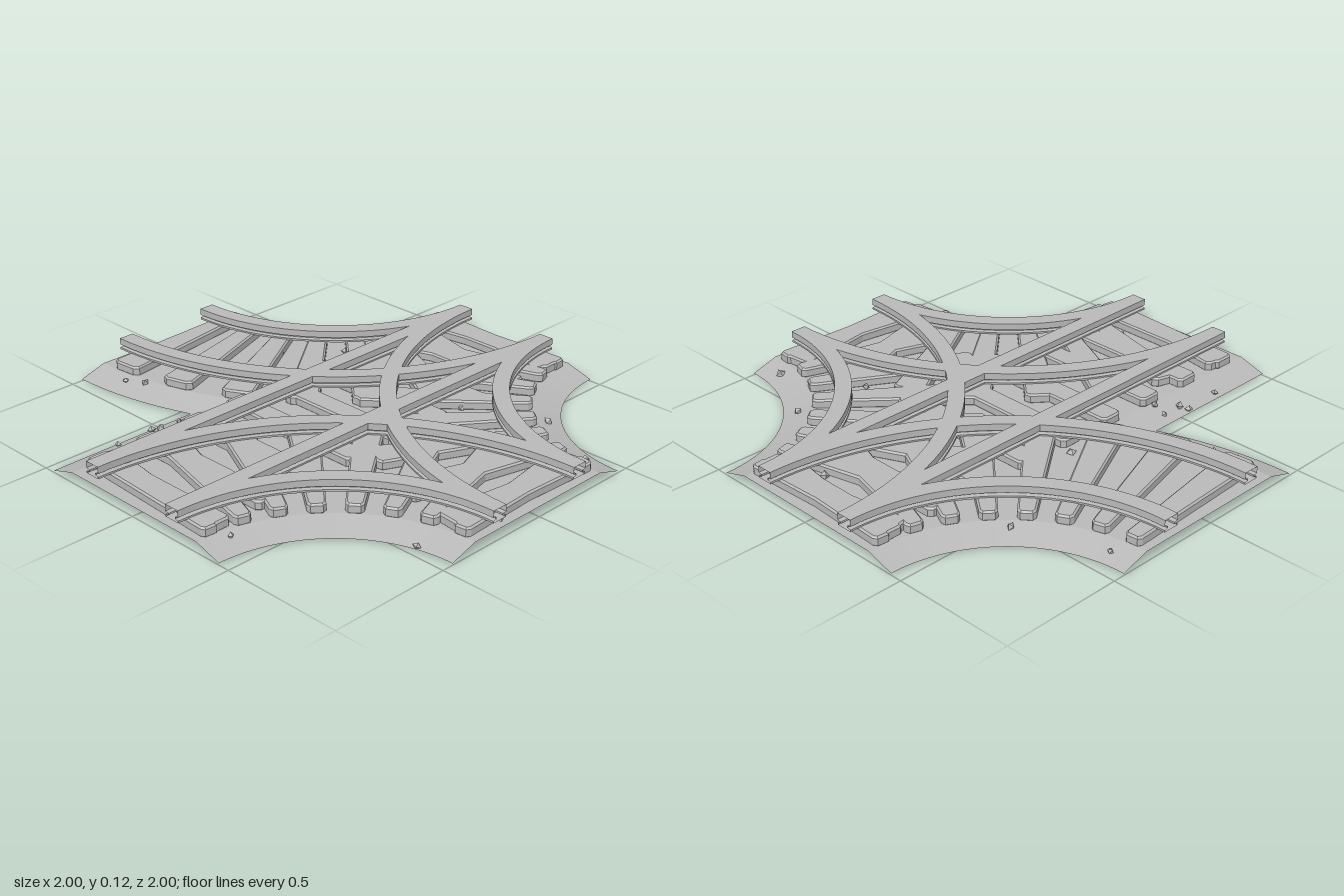
import * as THREE from 'three';

const GAUGE = 0.217, FLAT = 0.34, EDGE = 0.453, BED_Y = 0.035;
const HALF = Math.PI / 2;

const grey = new THREE.MeshStandardMaterial({ color: 0xb8b8b8 });
grey.name = 'stoneGrey';
const greySheet = grey;
greySheet.side = THREE.DoubleSide;

// A track maps (s along 0..1, sideways offset) to [x, z]
const straight = { name: 'straight', length: 2, sleepers: 9, steps: 1, at: (s, o) => [2 * s - 1, o] };
const curve = (name, cx, cz, a0) => ({
  name, length: HALF, sleepers: 8, steps: 32,
  at: (s, o) => {
    const a = a0 - s * HALF;
    return [cx + (1 + o) * Math.cos(a), cz + (1 + o) * Math.sin(a)];
  },
});
const tracks = [
  straight,
  curve('frontRightCurve', -1, 1, 0),
  curve('frontLeftCurve', 1, 1, -HALF),
  curve('backLeftCurve', 1, -1, Math.PI),
];

function sheet(positions, index) {
  const g = new THREE.BufferGeometry();
  g.setAttribute('position', new THREE.Float32BufferAttribute(positions, 3));
  g.setIndex(index);
  g.computeVertexNormals();
  return g;
}

function mesh(name, geometry) {
  const m = new THREE.Mesh(geometry, grey);
  m.name = name;
  return m;
}

// Rail: foot, web and head swept along the track, open at both ends
const railProfile = [
  [-0.033, 0.069], [0.033, 0.069], [0.033, 0.077], [0.017, 0.08], [0.017, 0.087], [0.033, 0.09],
  [0.033, 0.117], [-0.033, 0.117], [-0.033, 0.09], [-0.017, 0.087], [-0.017, 0.08], [-0.033, 0.077],
];
function railGeometry(track, offset) {
  const pos = [], index = [];
  railProfile.forEach((p, k) => {
    const q = railProfile[(k + 1) % railProfile.length];
    const base = pos.length / 3;
    for (let i = 0; i <= track.steps; i++) {
      for (const [o, y] of [p, q]) {
        const [x, z] = track.at(i / track.steps, offset + o);
        pos.push(x, y, z);
      }
      if (i < track.steps) {
        const a = base + 2 * i;
        index.push(a, a + 2, a + 3, a, a + 3, a + 1);
      }
    }
  });
  return sheet(pos, index);
}

// Sleeper: chamfered block that widens outward on curves
function sleeperGeometry(track, s) {
  const w = 0.05, l = 0.34, c = 0.016, b = 0.007;
  const plan = [
    [-w, -l + c], [-w + c, -l], [w - c, -l], [w, -l + c],
    [w, l - c], [w - c, l], [-w + c, l], [-w, l - c],
  ].map(([u, o]) => {
    const [x, z] = track.at(s + u / track.length, o);
    return new THREE.Vector2(x, -z);
  });
  const g = new THREE.ExtrudeGeometry(new THREE.Shape(plan), {
    depth: 0.041 - 2 * b, bevelEnabled: true, bevelThickness: b,
    bevelSize: b, bevelOffset: -b, bevelSegments: 1,
  });
  return g.rotateX(-HALF).translate(0, 0.03 + b, 0);
}

// Bed borders at a given distance from the track centre lines
function bedBorders(h) {
  const arc = (cx, cz, r, a, b) => Array.from({ length: 25 }, (_, i) => {
    const t = a + (b - a) * i / 24;
    return [cx + r * Math.cos(t), cz + r * Math.sin(t)];
  });
  const meet = Math.PI - Math.asin((1 - h) / (1 + h));
  return [
    arc(-1, 1, 1 - h, -HALF, 0),
    arc(1, 1, 1 - h, -Math.PI, -HALF),
    arc(1, -1, 1 - h, HALF, Math.PI),
    [...arc(1, -1, 1 + h, Math.PI, meet), [-1, -h]],
  ];
}

function buildBed() {
  const bed = new THREE.Group();
  bed.name = 'ballastBed';
  const inner = bedBorders(FLAT), outer = bedBorders(EDGE);
  const shape = new THREE.Shape(inner.flat().map(([x, z]) => new THREE.Vector2(x, -z)));
  bed.add(mesh('bedTop', new THREE.ShapeGeometry(shape).rotateX(-HALF).translate(0, BED_Y, 0)));
  inner.forEach((run, r) => {
    const pos = [], index = [];
    run.forEach(([x, z], i) => {
      const [ox, oz] = outer[r][i];
      pos.push(x, BED_Y, z, ox, 0, oz);
      if (i < run.length - 1) {
        const a = 2 * i;
        index.push(a, a + 1, a + 3, a, a + 3, a + 2);
      }
    });
    const slope = sheet(pos, index).toNonIndexed();
    slope.computeVertexNormals();
    bed.add(mesh('bedSlope', slope));
  });
  return bed;
}

// Loose stones: x, z
const stones = [
  [-0.37, -0.82], [-0.335, -0.74], [-0.02, -0.645], [0.41, -0.9], [0.55, -0.565], [0.05, -0.38],
  [-0.72, -0.43], [-0.55, -0.44], [-0.53, -0.41], [-0.44, -0.41], [-0.445, -0.355], [0.205, -0.155],
  [0.03, -0.1], [-0.8, 0.135], [0.8, 0.13], [0.37, 0.31], [0.255, 0.535], [0.55, 0.595],
  [-0.885, 0.385], [-0.465, 0.85], [0.405, 0.885], [-0.17, 0.965], [0.43, -0.38], [0.23, -0.55],
];

// Bed height below a point, from its distance to the nearest track
function bedHeight(x, z) {
  const d = Math.min(Math.abs(z), ...[[-1, 1], [1, 1], [1, -1]].map(
    ([cx, cz]) => Math.abs(Math.hypot(x - cx, z - cz) - 1)));
  return BED_Y * THREE.MathUtils.clamp((EDGE - d) / (EDGE - FLAT), 0, 1);
}

export function createModel() {
  const model = new THREE.Group();
  model.name = 'railwayJunction';
  model.add(buildBed());

  for (const track of tracks) {
    const group = new THREE.Group();
    group.name = track.name + 'Track';
    for (const side of [-1, 1]) group.add(mesh('rail', railGeometry(track, side * GAUGE)));
    for (let i = 0; i < track.sleepers; i++) {
      group.add(mesh('sleeper', sleeperGeometry(track, (i + 0.5) / track.sleepers)));
    }
    model.add(group);
  }

  const gravel = new THREE.Group();
  gravel.name = 'looseStones';
  stones.forEach(([x, z], i) => {
    const stone = mesh('stone', new THREE.OctahedronGeometry(0.014 + 0.003 * (i % 3)));
    stone.position.set(x, bedHeight(x, z) + 0.006, z);
    stone.rotation.set(i * 1.3, i * 2.1, i * 0.7);
    stone.scale.y = 0.8;
    gravel.add(stone);
  });
  model.add(gravel);
  return model;
}
